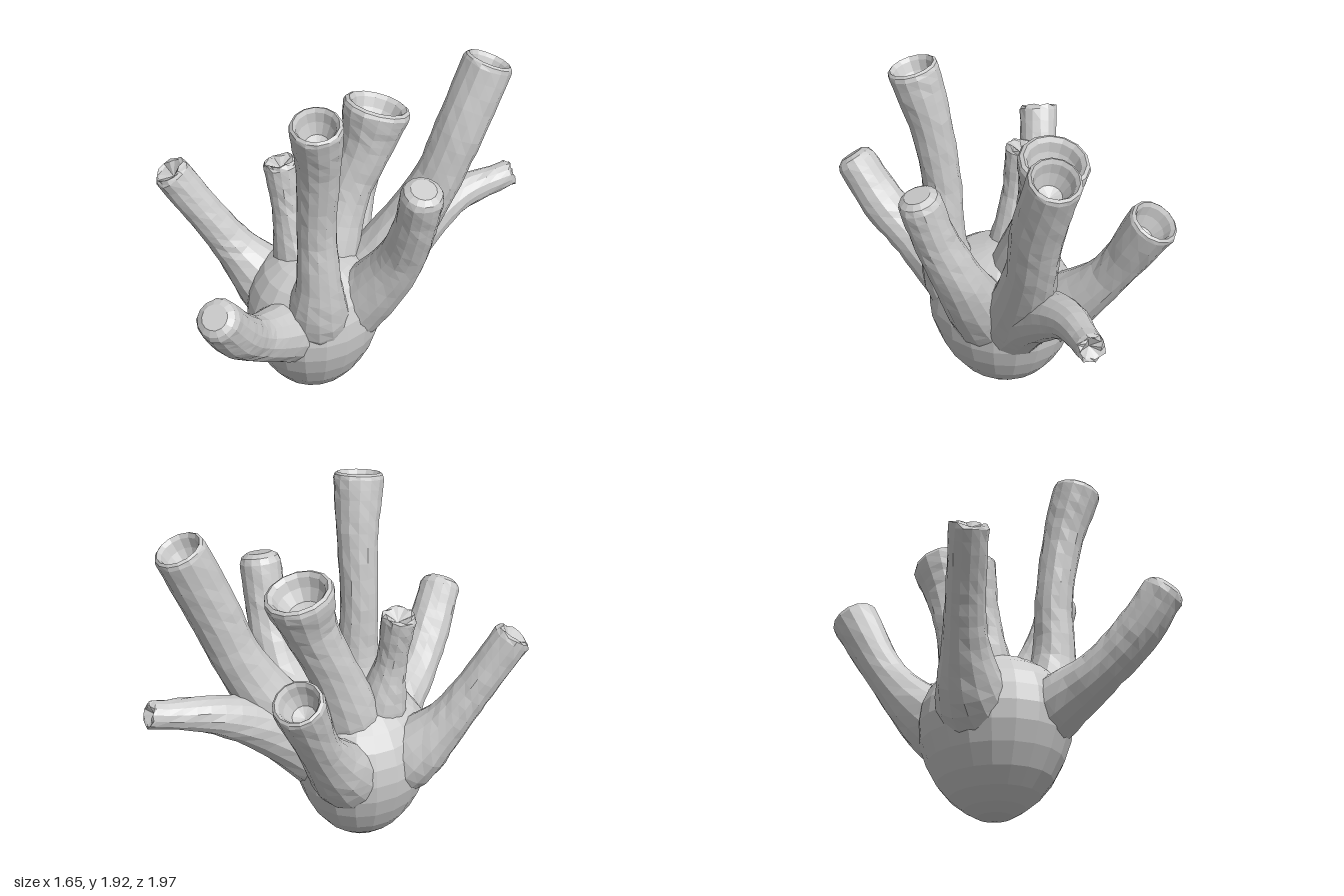
import * as THREE from 'three';

const SIDES = 14;
const material = new THREE.MeshStandardMaterial({ color: 0xcccccc, flatShading: true });

// End profiles: [offset along the axis, radius factor], from the rim inwards
const ENDS = {
  cup: [[0.02, 0.96], [0.03, 0.86], [0.01, 0.75], [-0.04, 0.66], [-0.1, 0.45], [-0.12, 0]],
  round: [[0.03, 0.88], [0.05, 0.6], [0.05, 0]],
  ragged: [[0.02, 0.92], [0.02, 0.75], [-0.02, 0]],
};

// Small seeded generator for the uneven surface
function seeded(seed) {
  return () => (seed = (seed * 16807) % 2147483647) / 2147483647 - 0.5;
}

// Sweeps rings of varying radius from the core through [x, y, z, radius] points and closes the tip
function branch(name, end, ...points) {
  const core = new THREE.Vector3(0.02, 0.38, -0.05);
  const centres = points.map(([x, y, z]) => new THREE.Vector3(x, y, z));
  const root = new THREE.Vector3().lerpVectors(core, centres[0], 0.2).setY(core.y);
  const path = new THREE.CatmullRomCurve3([root, ...centres]);
  const widths = [0.19, ...points.map(p => p[3])];
  const radii = new THREE.SplineCurve(widths.map((r, i) => new THREE.Vector2(i, r)));

  const steps = points.length * 5;
  const rings = [];
  for (let i = 0; i <= steps; i++) {
    const t = i / steps;
    rings.push({ centre: path.getPoint(t), tangent: path.getTangent(t), radius: radii.getPoint(t).y, rough: 0.006 });
  }
  const tip = rings[steps];
  for (const [offset, factor] of ENDS[end]) {
    rings.push({
      centre: tip.centre.clone().addScaledVector(tip.tangent, offset),
      tangent: tip.tangent,
      radius: tip.radius * factor,
      rough: end === 'ragged' && factor > 0 ? 0.02 : 0,
    });
  }

  const random = seeded(name.length * 37);
  const xAxis = new THREE.Vector3(1, 0, 0);
  const positions = [], index = [];
  rings.forEach(({ centre, tangent, radius, rough }, i) => {
    const n = new THREE.Vector3().crossVectors(tangent, xAxis).normalize();
    const b = new THREE.Vector3().crossVectors(tangent, n);
    for (let j = 0; j < SIDES; j++) {
      const a = (j / SIDES) * Math.PI * 2;
      const r = radius + random() * rough;
      const v = centre.clone()
        .addScaledVector(n, Math.cos(a) * r)
        .addScaledVector(b, Math.sin(a) * r)
        .addScaledVector(tangent, random() * rough);
      positions.push(v.x, v.y, v.z);
      if (i < rings.length - 1) {
        const p = i * SIDES + j, q = i * SIDES + (j + 1) % SIDES;
        index.push(p, q, p + SIDES, q, q + SIDES, p + SIDES);
      }
    }
  });
  const geometry = new THREE.BufferGeometry();
  geometry.setAttribute('position', new THREE.Float32BufferAttribute(positions, 3));
  geometry.setIndex(index);
  geometry.computeVertexNormals();
  const mesh = new THREE.Mesh(geometry, material);
  mesh.name = name;
  return mesh;
}

// Rounded base from which all branches grow
function createBase() {
  const profile = new THREE.SplineCurve([
    new THREE.Vector2(0, 0),
    new THREE.Vector2(0.1, 0.02),
    new THREE.Vector2(0.25, 0.16),
    new THREE.Vector2(0.35, 0.4),
    new THREE.Vector2(0.34, 0.62),
    new THREE.Vector2(0.22, 0.79),
    new THREE.Vector2(0, 0.86),
  ]).getPoints(14);
  const base = new THREE.Mesh(new THREE.LatheGeometry(profile, 20), material);
  base.name = 'base';
  base.scale.z = 1.12;
  base.position.set(0.01, 0, -0.05);
  return base;
}

export function createModel() {
  const model = new THREE.Group();
  model.name = 'branchingSponge';
  model.add(createBase());

  // Open tubes
  model.add(branch('tallFrontTube', 'cup',
    [0.12, 0.62, 0.17, 0.17], [0.15, 0.86, 0.22, 0.12], [0.14, 1.2, 0.23, 0.1],
    [0.17, 1.6, 0.28, 0.11], [0.19, 1.86, 0.35, 0.13]));
  model.add(branch('wideCentreTube', 'cup',
    [0.03, 0.75, -0.17, 0.17], [0.08, 1.08, -0.28, 0.13], [0.16, 1.36, -0.37, 0.14], [0.19, 1.55, -0.42, 0.18]));
  model.add(branch('backTube', 'cup',
    [-0.01, 0.52, -0.34, 0.18], [-0.01, 0.85, -0.65, 0.11], [0, 1.23, -0.87, 0.13]));
  model.add(branch('tallLeftTube', 'cup',
    [0.25, 0.65, -0.27, 0.18], [0.5, 1.13, -0.46, 0.13], [0.6, 1.45, -0.54, 0.13], [0.69, 1.8, -0.66, 0.13]));

  // Closed arms
  model.add(branch('frontArm', 'round',
    [-0.01, 0.52, 0.25, 0.17], [-0.06, 0.66, 0.53, 0.12], [-0.07, 0.83, 0.73, 0.12], [-0.08, 1.03, 0.89, 0.11]));
  model.add(branch('leftArm', 'round',
    [0.28, 0.61, -0.06, 0.17], [0.48, 0.92, -0.05, 0.13], [0.58, 1.2, 0.02, 0.11], [0.63, 1.43, 0.07, 0.11]));

  // Broken ends
  model.add(branch('rightArm', 'ragged',
    [-0.25, 0.54, -0.06, 0.19], [-0.44, 0.75, -0.02, 0.12], [-0.58, 0.97, 0.04, 0.1], [-0.73, 1.23, 0.12, 0.1]));
  model.add(branch('smallNub', 'ragged',
    [-0.1, 0.82, -0.06, 0.13], [-0.15, 1.07, -0.05, 0.08], [-0.19, 1.32, -0.06, 0.09]));
  model.add(branch('lowBackBranch', 'ragged',
    [0.34, 0.73, -0.39, 0.15], [0.54, 0.94, -0.67, 0.1], [0.77, 1.02, -0.9, 0.07]));
  return model;
}
